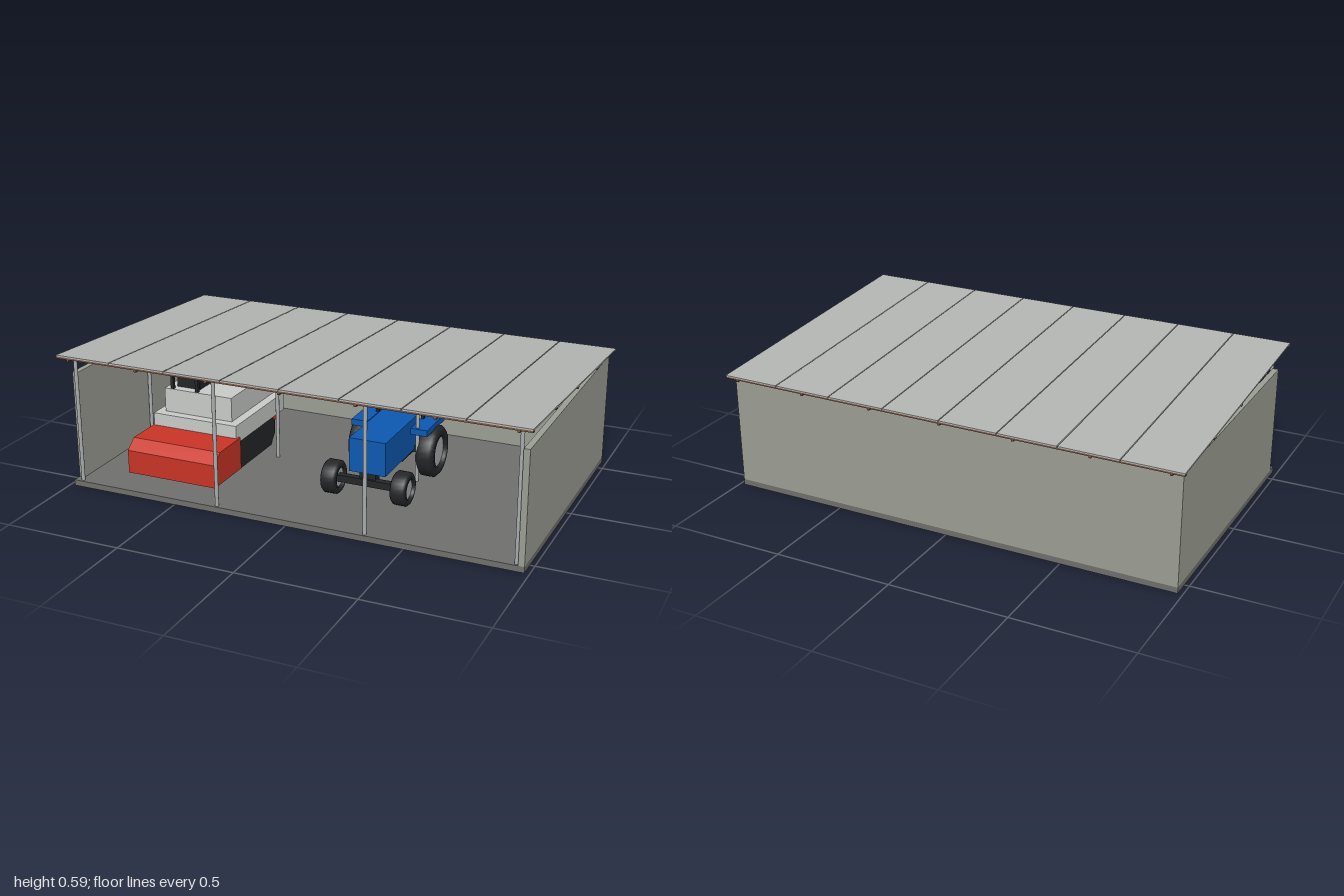
import * as THREE from 'three';

const mat = (name, color, side = THREE.FrontSide) => {
  const m = new THREE.MeshStandardMaterial({ color, side });
  m.name = name;
  return m;
};

export function createModel() {
  const wall = mat('wall grey', 0x9b9e93);
  const slab = mat('slab grey', 0x6f706d);
  const roofing = mat('roof sheet', 0xb2b4b2);
  const steel = mat('post steel', 0xa9adae);
  const wood = mat('brown timber', 0x7a5340);
  const red = mat('red paint', 0xc93426);
  const blue = mat('blue paint', 0x0d58b0);
  const white = mat('pale panel', 0xc9cbc8);
  const black = mat('black rubber', 0x242628);

  const model = new THREE.Group();
  const add = (parent, name, geo, m, x = 0, y = 0, z = 0) => {
    const mesh = new THREE.Mesh(geo, m);
    mesh.name = name;
    mesh.position.set(x, y, z);
    parent.add(mesh);
    return mesh;
  };
  // box given by its min and max on each axis
  const box = (parent, name, m, [x0, x1], [y0, y1], [z0, z1]) =>
    add(parent, name, new THREE.BoxGeometry(x1 - x0, y1 - y0, z1 - z0), m,
      (x0 + x1) / 2, (y0 + y1) / 2, (z0 + z1) / 2);
  // side profile of (z, y) points, extruded from x0 to x1
  const sideProfile = (parent, name, m, pts, x0, x1) => {
    const shape = new THREE.Shape(pts.map(([z, y]) => new THREE.Vector2(-z, y)));
    const geo = new THREE.ExtrudeGeometry(shape, { depth: x1 - x0, bevelEnabled: false });
    geo.rotateY(Math.PI / 2);
    return add(parent, name, geo, m, x0, 0, 0);
  };
  const group = (name) => {
    const g = new THREE.Group();
    g.name = name;
    model.add(g);
    return g;
  };

  // floor and three walls
  const shed = group('shed');
  box(shed, 'floorSlab', slab, [-0.98, 0.98], [0, 0.025], [-0.57, 0.57]);
  box(shed, 'backWall', wall, [-0.98, 0.98], [0.025, 0.492], [-0.57, -0.54]);
  box(shed, 'leftWall', wall, [0.955, 0.98], [0.025, 0.492], [-0.54, 0.57]);
  box(shed, 'rightWall', wall, [-0.98, -0.955], [0.025, 0.492], [-0.54, 0.53]);

  // posts reach up to the sloping roof
  const slope = 0.0613;
  for (const x of [-0.945, -0.31, 0.335, 0.945]) {
    for (const z of [0.555, 0]) {
      const top = 0.529 + z * slope;
      add(shed, 'post', new THREE.CylinderGeometry(0.008, 0.008, top - 0.025, 12), steel,
        x, (top + 0.025) / 2, z);
    }
  }

  // sloping roof: sheets on purlins on rafters
  const roof = group('roof');
  roof.position.y = 0.549;
  roof.rotation.x = -Math.atan(slope);
  for (let i = 0; i < 8; i++) {
    const x = -1 + i * 0.25;
    box(roof, 'roofSheet', roofing, [x + 0.002, x + 0.248], [-0.006, 0], [-0.611, 0.611]);
  }
  for (let i = -2; i <= 2; i++) {
    const z = i * 0.3;
    box(roof, 'purlin', wood, [-0.998, 0.998], [-0.014, -0.006], [z - 0.009, z + 0.009]);
  }
  for (let i = -3; i <= 3; i++) {
    const x = i * 0.315;
    box(roof, 'rafter', wood, [x - 0.005, x + 0.005], [-0.022, -0.008], [-0.608, 0.608]);
  }

  // harvester
  const harvester = group('harvester');
  sideProfile(harvester, 'header', red,
    [[0.23, 0.05], [0.46, 0.05], [0.46, 0.15], [0.41, 0.19], [0.23, 0.19]], -0.78, -0.37);
  box(harvester, 'chassis', red, [-0.74, -0.41], [0.12, 0.19], [-0.2, 0.23]);
  box(harvester, 'lowerBody', white, [-0.775, -0.38], [0.165, 0.245], [-0.2, 0.25]);
  box(harvester, 'upperBody', white, [-0.74, -0.42], [0.245, 0.35], [-0.2, 0.21]);
  for (const x of [-0.72, -0.435]) {
    sideProfile(harvester, 'track', black,
      [[0.19, 0.025], [0.23, 0.07], [0.23, 0.13], [0.19, 0.16],
        [-0.11, 0.16], [-0.15, 0.13], [-0.15, 0.07], [-0.11, 0.025]], x - 0.035, x + 0.035);
  }
  box(harvester, 'seat', black, [-0.7, -0.59], [0.35, 0.4], [0.06, 0.17]);
  for (const x of [-0.705, -0.587]) {
    for (const z of [0.06, 0.2]) {
      box(harvester, 'canopyPost', black, [x - 0.007, x + 0.007], [0.35, 0.485], [z - 0.007, z + 0.007]);
    }
  }
  const canopy = add(harvester, 'canopy', new THREE.BoxGeometry(0.18, 0.02, 0.205), red, -0.65, 0.497, 0.133);
  canopy.rotation.x = 0.17;

  // tractor
  const tractor = group('tractor');
  box(tractor, 'hood', blue, [0.135, 0.295], [0.135, 0.28], [-0.1, 0.25]);
  box(tractor, 'rearBody', black, [0.16, 0.27], [0.1, 0.2], [-0.2, 0.0]);
  box(tractor, 'seat', black, [0.17, 0.26], [0.2, 0.305], [-0.19, -0.1]);
  const wheel = (name, x, z, r, w) => {
    const g = new THREE.Group();
    g.name = name;
    g.position.set(x, 0.025 + r, z);
    g.rotation.z = -Math.PI / 2;
    const b = r * 0.12;
    const tyre = [[r * 0.6, -w / 2], [r - b, -w / 2], [r, -w / 2 + b], [r, w / 2 - b],
      [r - b, w / 2], [r * 0.6, w / 2], [r * 0.6, -w / 2]];
    const geo = new THREE.LatheGeometry(tyre.map(([a, c]) => new THREE.Vector2(a, c)), 28);
    add(g, 'tyre', geo, black);
    add(g, 'hub', new THREE.CylinderGeometry(r * 0.61, r * 0.61, w * 0.7, 28), steel);
    tractor.add(g);
  };
  for (const s of [-1, 1]) {
    const x = 0.215 + s * 0.152;
    wheel('rearWheel', x, -0.09, 0.11, 0.075);
    wheel('frontWheel', x, 0.24, 0.07, 0.065);
    const f = 0.215 + s * 0.133;
    box(tractor, 'fender', blue, [f - 0.036, f + 0.036], [0.238, 0.265], [-0.19, 0.02]);
    const p = 0.215 + s * 0.102;
    box(tractor, 'rollBar', black, [p - 0.007, p + 0.007], [0.2, 0.505], [-0.115, -0.1]);
  }
  box(tractor, 'rollBarTop', black, [0.106, 0.324], [0.492, 0.506], [-0.115, -0.1]);
  box(tractor, 'sunRoof', white, [0.106, 0.324], [0.494, 0.502], [-0.19, 0.1]);
  for (const [z, y] of [[0.24, 0.095], [-0.09, 0.135]]) {
    box(tractor, 'axle', black, [0.07, 0.36], [y - 0.015, y + 0.015], [z - 0.015, z + 0.015]);
  }
  box(tractor, 'frontBracket', black, [0.18, 0.25], [0.09, 0.136], [0.2, 0.245]);

  return model;
}
